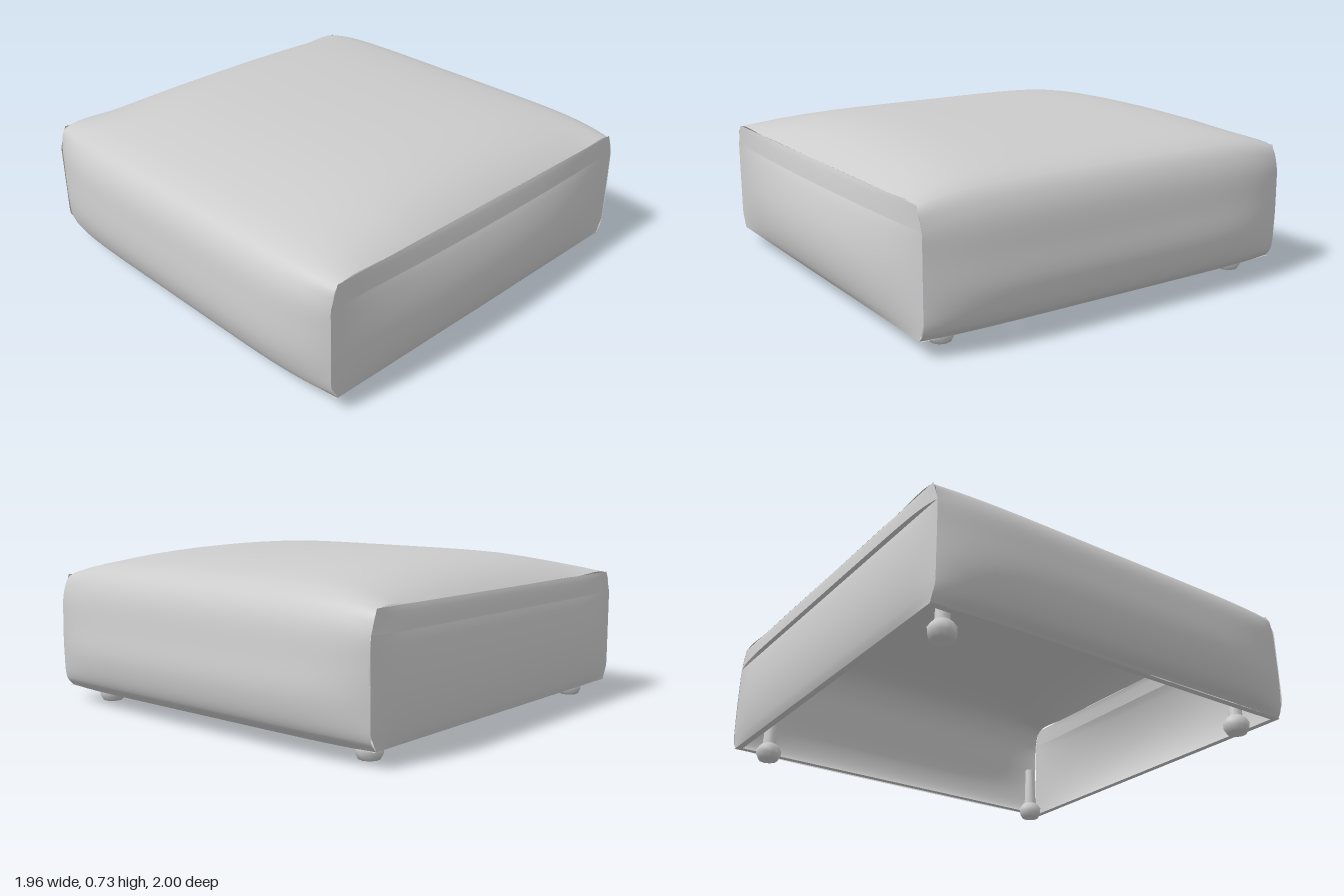
import * as THREE from 'three';

const fabric = new THREE.MeshStandardMaterial({ color: 0xcccccc, side: THREE.DoubleSide });
const CX = -0.015, HALF = 0.935, BASE = 0.07, SEAM = 0.505, EDGE = 0.6;

// Smooth surface from a rule f(u, v) with u in -1..1 and v in 0..1
function sheet(name, nu, nv, f) {
  const pos = [], idx = [];
  for (let j = 0; j <= nv; j++) {
    for (let i = 0; i <= nu; i++) pos.push(...f(-1 + (2 * i) / nu, j / nv));
  }
  for (let j = 0; j < nv; j++) {
    for (let i = 0; i < nu; i++) {
      const a = j * (nu + 1) + i, b = a + nu + 1;
      idx.push(a, a + 1, b + 1, a, b + 1, b);
    }
  }
  const g = new THREE.BufferGeometry();
  g.setAttribute('position', new THREE.Float32BufferAttribute(pos, 3));
  g.setIndex(idx);
  g.computeVertexNormals();
  const mesh = new THREE.Mesh(g, fabric);
  mesh.name = name;
  return mesh;
}

const profile = pts => new THREE.CatmullRomCurve3(
  pts.map(([z, y]) => new THREE.Vector3(0, y, z)), false, 'centripetal');

export function createModel() {
  const model = new THREE.Group();
  model.name = 'ottoman';

  // Cover running up the front, over the top and down the back:
  // a crowned middle section blends into a flatter section at the side seams
  const middle = profile([
    [0.91, 0.068], [0.96, 0.11], [1.0, 0.22], [0.995, 0.38], [0.965, 0.52],
    [0.89, 0.605], [0.58, 0.69], [0.08, 0.728], [-0.65, 0.698],
    [-0.88, 0.64], [-0.95, 0.55], [-0.985, 0.38], [-1.0, 0.24], [-0.97, 0.12], [-0.91, 0.068]]);
  const border = profile([
    [0.89, BASE], [0.91, 0.11], [0.92, 0.22], [0.92, 0.38], [0.915, 0.52],
    [0.89, 0.59], [0.58, EDGE], [0.08, EDGE], [-0.65, EDGE],
    [-0.88, 0.595], [-0.92, 0.52], [-0.93, 0.38], [-0.93, 0.22], [-0.92, 0.11], [-0.89, BASE]]);
  model.add(sheet('cover', 40, 84, (u, v) => {
    const s = Math.sin((u * Math.PI) / 2);
    const p = border.getPoint(v).lerp(middle.getPoint(v), 1 - Math.abs(s) ** 6);
    return [CX + HALF * s, p.y, p.z];
  }));

  // Bulging side panels, and the overhanging strip of the top above each seam
  for (const side of [1, -1]) {
    const label = side > 0 ? 'left' : 'right';
    const peak = side > 0 ? 0.06 : 0.03;
    const depth = y => 0.925 - 0.035 * Math.max(0, (y - 0.5) / 0.1) - 0.035 * Math.max(0, 1 - (y - BASE) / 0.07);
    const point = (w, y, bulge) => {
      const across = side > 0 ? 1 - Math.abs(w) ** 2.2 : 1 - w ** 10;
      return [CX + side * (HALF + bulge * across), y, -side * w * depth(y)];
    };
    model.add(sheet(label + 'Panel', 32, 20, (w, v) =>
      point(w, BASE + (SEAM - BASE) * v, peak * Math.sin(Math.PI * v ** 0.85) ** 0.8)));
    model.add(sheet(label + 'Overhang', 32, 8, (w, v) =>
      point(w, SEAM + (EDGE - SEAM) * v, 0.022 * (1 - v) ** 0.7)));
  }

  // Narrow hem folded inward around the open underside
  const rect = (shape, x, z) => shape.moveTo(-x, -z).lineTo(x, -z).lineTo(x, z).lineTo(-x, z).closePath();
  const hemShape = rect(new THREE.Shape(), HALF, 0.9);
  hemShape.holes.push(rect(new THREE.Path(), HALF - 0.03, 0.87));
  const hem = new THREE.Mesh(new THREE.ShapeGeometry(hemShape).rotateX(Math.PI / 2), fabric);
  hem.position.set(CX, BASE, 0);
  hem.name = 'hem';
  model.add(hem);

  // Turned feet with tapered stems reaching up inside
  const foot = new THREE.LatheGeometry([
    [0, 0], [0.045, 0], [0.058, 0.025], [0.06, 0.05], [0.045, 0.072],
    [0.032, 0.085], [0.024, 0.28], [0, 0.28]].map(p => new THREE.Vector2(...p)), 10);
  for (const x of [-0.825, 0.76]) {
    for (const z of [0.78, -0.775]) {
      const leg = new THREE.Mesh(foot, fabric);
      leg.position.set(x, 0, z);
      leg.name = (z > 0 ? 'front' : 'back') + (x > 0 ? 'Left' : 'Right') + 'Leg';
      model.add(leg);
    }
  }
  return model;
}
